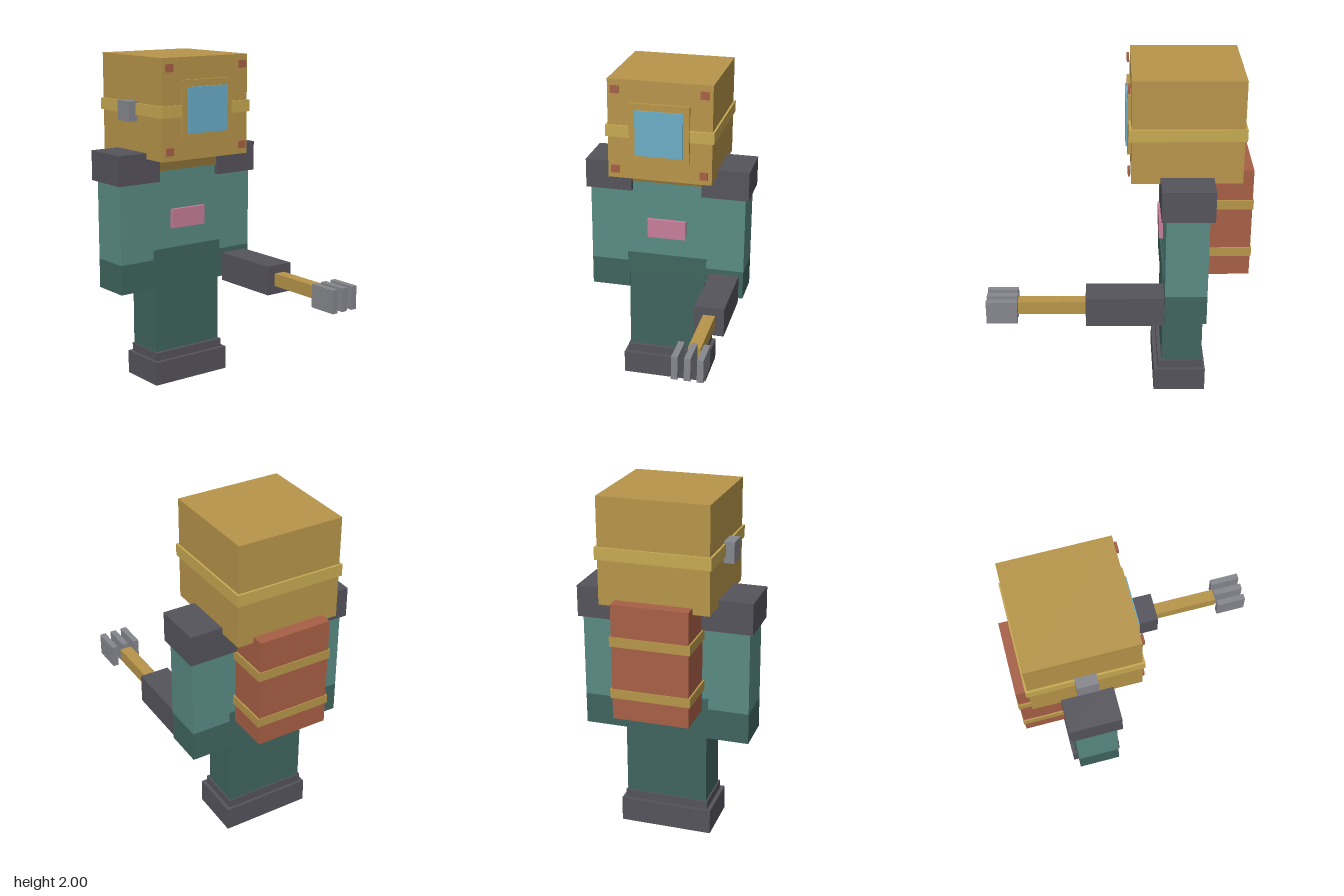
import * as THREE from 'three';

const mat = (name, color) => {
  const m = new THREE.MeshStandardMaterial({ color });
  m.name = name;
  return m;
};

export function createModel() {
  const brass = mat('brass', 0xb8964a);
  const paleBrass = mat('pale brass', 0xc8aa53);
  const darkBrass = mat('dark brass', 0x8b6f36);
  const suit = mat('teal suit', 0x5a8b84);
  const darkSuit = mat('dark teal suit', 0x40655f);
  const iron = mat('dark iron', 0x56545c);
  const steel = mat('steel', 0x86888e);
  const rust = mat('rust red', 0xa86046);
  const pink = mat('pink', 0xc87e98);
  const glass = mat('blue glass', 0x6baec8);

  const model = new THREE.Group();
  model.name = 'diver';

  const group = (name) => {
    const g = new THREE.Group();
    g.name = name;
    model.add(g);
    return g;
  };
  // Box given by its extents along each axis
  const box = (parent, name, material, [x0, x1], [y0, y1], [z0, z1]) => {
    const mesh = new THREE.Mesh(new THREE.BoxGeometry(x1 - x0, y1 - y0, z1 - z0), material);
    mesh.position.set((x0 + x1) / 2, (y0 + y1) / 2, (z0 + z1) / 2);
    mesh.name = name;
    parent.add(mesh);
  };
  // Extents mirrored to either side of z = 0
  const side = (s, near, far) => (s > 0 ? [near, far] : [-far, -near]);
  const wide = (half) => [-half, half];

  // Helmet, facing +x
  const helmet = group('helmet');
  box(helmet, 'helmetShell', brass, [-0.685, -0.066], [1.405, 2], wide(0.31));
  box(helmet, 'helmetBand', paleBrass, [-0.698, -0.053], [1.658, 1.727], wide(0.322));
  box(helmet, 'windowFrame', brass, [-0.08, -0.046], [1.525, 1.87], wide(0.178));
  box(helmet, 'windowGlass', glass, [-0.06, -0.036], [1.56, 1.83], wide(0.142));
  box(helmet, 'sideValve', steel, [-0.435, -0.316], [1.62, 1.738], [0.3, 0.37]);
  for (const s of [1, -1])
    for (const y of [1.44, 1.92])
      box(helmet, 'bolt', rust, [-0.06, -0.048], [y, y + 0.045], side(s, 0.24, 0.288));

  // Torso and legs
  const body = group('body');
  box(body, 'collar', darkBrass, [-0.505, -0.245], [1.32, 1.405], wide(0.23));
  box(body, 'torso', suit, [-0.497, -0.257], [0.72, 1.32], wide(0.24));
  box(body, 'chestPlate', pink, [-0.26, -0.234], [0.963, 1.08], wide(0.12));
  box(body, 'waist', darkSuit, [-0.504, -0.25], [0.72, 0.842], wide(0.248));
  box(body, 'legs', darkSuit, [-0.497, -0.257], [0.19, 0.72], wide(0.238));
  box(body, 'ankleCuff', iron, [-0.504, -0.235], [0.14, 0.196], wide(0.246));
  box(body, 'boots', iron, [-0.52, -0.21], [0, 0.145], wide(0.268));

  // Arms with cuffs and shoulder pads
  for (const s of [1, -1]) {
    const arm = group(s > 0 ? 'leftArm' : 'rightArm');
    box(arm, 'sleeve', suit, [-0.497, -0.257], [0.78, 1.32], side(s, 0.24, 0.48));
    box(arm, 'cuff', darkSuit, [-0.497, -0.257], [0.6, 0.78], side(s, 0.24, 0.48));
    box(arm, 'shoulderPad', iron, [-0.525, -0.229], [1.26, 1.44], side(s, 0.215, 0.502));
  }

  // Backpack with two straps
  const pack = group('backpack');
  box(pack, 'packBody', rust, [-0.757, -0.508], [0.78, 1.44], wide(0.216));
  for (const [y0, y1] of [[0.903, 0.956], [1.203, 1.258]])
    box(pack, 'packStrap', brass, [-0.762, -0.5], [y0, y1], wide(0.226));

  // Pronged tool held out in front
  const tool = group('tool');
  box(tool, 'toolGrip', iron, [-0.257, 0.192], [0.572, 0.75], [-0.452, -0.274]);
  box(tool, 'toolShaft', brass, [0.192, 0.582], [0.622, 0.7], [-0.399, -0.327]);
  for (const z of [-0.435, -0.363, -0.291])
    box(tool, 'prong', steel, [0.582, 0.76], [0.592, 0.73], [z - 0.018, z + 0.018]);

  return model;
}
